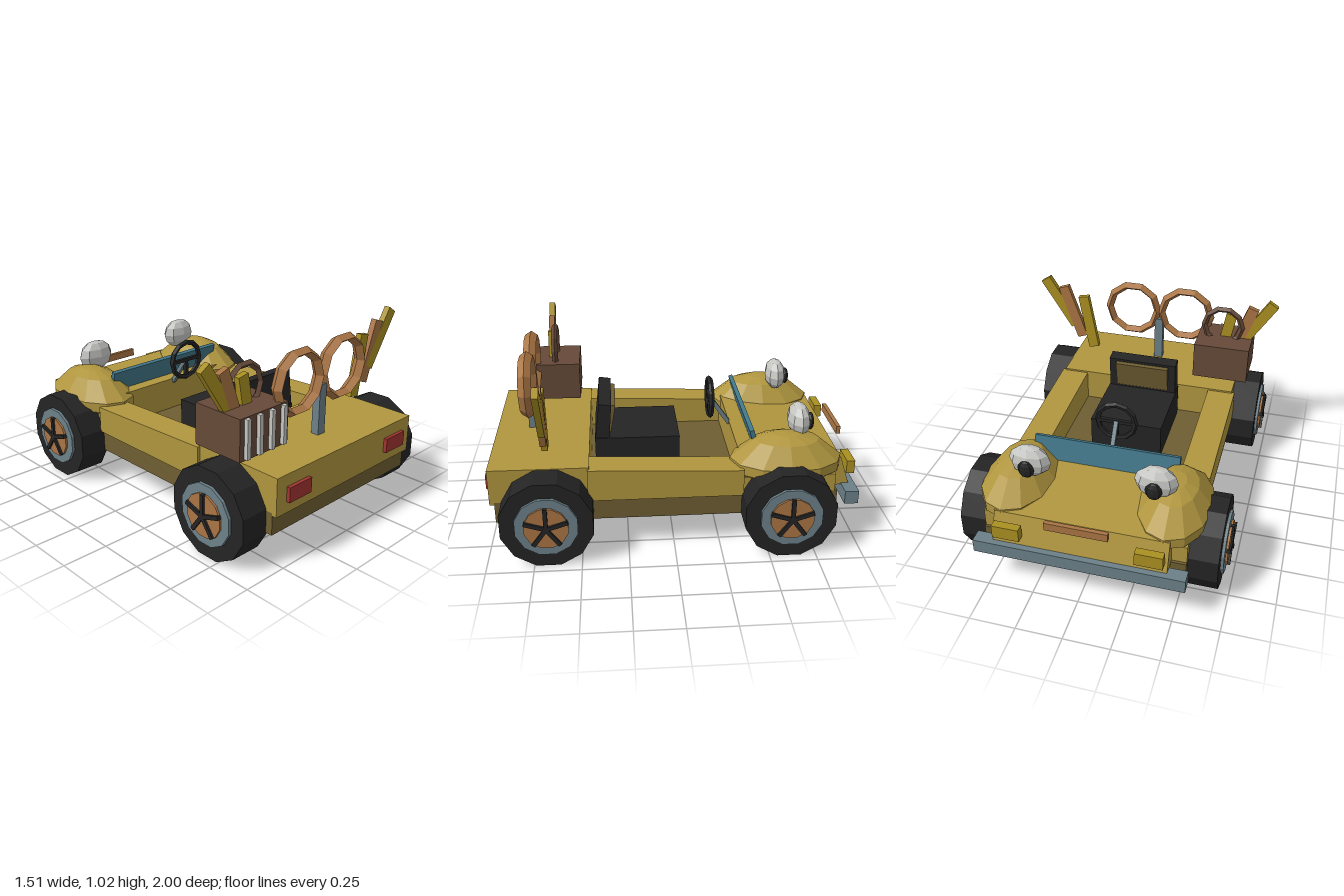
import * as THREE from 'three';

const mat = (name, color) => {
  const m = new THREE.MeshStandardMaterial({ color });
  m.name = name;
  return m;
};

export function createModel() {
  const yellow = mat('body yellow', 0xb0963f);
  const olive = mat('dark olive', 0x6e5e32);
  const black = mat('black', 0x242424);
  const steel = mat('blue grey', 0x6c8089);
  const wood = mat('wood', 0xaa7544);
  const brown = mat('dark brown', 0x664a39);
  const white = mat('white', 0xc6c6c3);
  const teal = mat('teal', 0x417688);
  const red = mat('red', 0xa03530);
  const mustard = mat('mustard', 0xaa9022);

  const car = new THREE.Group();
  car.name = 'buggy';

  // Faceted mesh helper
  const add = (name, geo, material, x = 0, y = 0, z = 0, parent = car) => {
    const g = geo.index ? geo.toNonIndexed() : geo;
    g.computeVertexNormals();
    const m = new THREE.Mesh(g, material);
    m.name = name;
    m.position.set(x, y, z);
    parent.add(m);
    return m;
  };
  // Box from its limits on each axis
  const box = (name, material, x0, x1, y0, y1, z0, z1) =>
    add(name, new THREE.BoxGeometry(x1 - x0, y1 - y0, z1 - z0), material,
      (x0 + x1) / 2, (y0 + y1) / 2, (z0 + z1) / 2);
  // Side profile of [z, y] points, extruded across the width
  const profile = (name, material, points, width, x) => {
    const shape = new THREE.Shape(points.map(p => new THREE.Vector2(...p)));
    const g = new THREE.ExtrudeGeometry(shape, { depth: width, bevelEnabled: false });
    g.translate(0, 0, -width / 2).rotateY(-Math.PI / 2);
    return add(name, g, material, x);
  };
  // Twelve-sided disc lying along x, with a flat side down
  const disc = (r, width) =>
    new THREE.CylinderGeometry(r, r, width, 12).rotateY(Math.PI / 12).rotateZ(Math.PI / 2);
  const rod = (name, material, a, b, r, parent = car) => {
    const from = new THREE.Vector3(...a), to = new THREE.Vector3(...b);
    const m = add(name, new THREE.BoxGeometry(r * 2, from.distanceTo(to), r * 2), material, 0, 0, 0, parent);
    m.position.copy(from).add(to).multiplyScalar(0.5);
    m.quaternion.setFromUnitVectors(new THREE.Vector3(0, 1, 0), to.sub(from).normalize());
    return m;
  };

  // Chassis, rear deck and hood
  box('chassis', olive, -0.54, 0.54, 0.18, 0.3, -0.885, 0.955);
  box('rearDeck', yellow, -0.54, 0.54, 0.285, 0.49, 0.45, 0.98);
  profile('hood', yellow, [[-0.36, 0.29], [-0.97, 0.29], [-0.915, 0.455], [-0.36, 0.49]], 0.92, 0);
  box('hoodBase', yellow, -0.54, 0.54, 0.3, 0.4, -0.87, -0.36);

  // Nose details
  box('bumper', steel, -0.56, 0.56, 0.225, 0.3, -1, -0.925);
  box('noseBar', wood, -0.165, 0.165, 0.455, 0.5, -0.988, -0.965);

  // Windshield, leaning back
  const shield = add('windshield', new THREE.BoxGeometry(0.81, 0.13, 0.025), teal, 0, 0.545, -0.445);
  shield.rotation.x = 0.27;

  // Paired parts
  const fenderProfile = [[0, 0.37], [0.8, 0.37], [1, 0.41], [1, 0.465], [0.58, 0.57], [0.25, 0.6], [0, 0.605]]
    .map(p => new THREE.Vector2(...p));
  for (const s of [-1, 1]) {
    const side = s > 0 ? 'left' : 'right';
    const pair = (name, m, x0, x1, ...rest) =>
      box(side + name, m, s > 0 ? x0 : -x1, s > 0 ? x1 : -x0, ...rest);

    profile(side + 'SideWall', yellow,
      [[0.46, 0.3], [-0.37, 0.3], [-0.37, 0.45], [0.46, 0.48]], 0.165, s * 0.475);
    add(side + 'FrontFender', new THREE.LatheGeometry(fenderProfile, 12).scale(0.195, 1, 0.305),
      yellow, s * 0.425, 0, -0.613);
    pair('Indicator', mustard, 0.3, 0.445, 0.35, 0.425, -1, -0.955);
    pair('TailLight', red, 0.31, 0.47, 0.345, 0.425, 0.975, 1);

    // Eye-shaped headlights
    add(side + 'Headlight', new THREE.SphereGeometry(1, 8, 6).scale(0.115, 0.09, 0.062),
      white, s * 0.335, 0.64, -0.695);
    add(side + 'HeadlightPupil', new THREE.SphereGeometry(1, 8, 6).scale(0.045, 0.05, 0.022),
      black, s * 0.335, 0.625, -0.758);

    // Fan of sticks
    [[0.445, 0.73, 0.18, mustard], [0.548, 0.79, 0.34, wood], [0.629, 0.85, 0.57, mustard]]
      .forEach(([x, y, tilt, m], i) => {
        const stick = add(side + 'Stick' + (i + 1),
          new THREE.BoxGeometry(0.066, 0.355, 0.034), m, s * x, y, 0.68);
        stick.rotation.z = -s * tilt;
      });

    // Large wooden rings
    add(side + 'Ring', new THREE.TorusGeometry(0.159, 0.024, 4, 10).scale(1, 1, 1.5),
      wood, s * 0.172, 0.815, 0.775);

    // Wheels
    for (const [end, z] of [['Front', -0.605], ['Rear', 0.675]]) {
      const wheel = new THREE.Group();
      wheel.name = side + end + 'Wheel';
      wheel.position.set(s * 0.61, 0.243, z);
      car.add(wheel);
      add('tire', disc(0.25, 0.172), black, 0, 0, 0, wheel);
      add('rim', disc(0.168, 0.1), steel, s * 0.052, 0, 0, wheel);
      add('hubDisc', disc(0.118, 0.1), wood, s * 0.064, 0, 0, wheel);
      for (let i = 0; i < 5; i++) {
        const a = i * Math.PI * 2 / 5;
        rod('spoke', black, [s * 0.115, 0, 0],
          [s * 0.115, Math.cos(a) * 0.118, Math.sin(a) * 0.118], 0.011, wheel);
      }
    }
  }

  // Seat
  box('seatBase', black, -0.21, 0.21, 0.3, 0.495, -0.055, 0.42);
  profile('seatBack', black, [[0.42, 0.48], [0.34, 0.48], [0.325, 0.69], [0.394, 0.7]], 0.41, 0);
  profile('seatPad', olive, [[0.345, 0.51], [0.33, 0.51], [0.302, 0.67], [0.33, 0.675]], 0.32, 0);

  // Steering wheel and column
  const steering = new THREE.Group();
  steering.name = 'steeringWheel';
  steering.position.set(0, 0.64, -0.245);
  car.add(steering);
  add('steeringRim', new THREE.TorusGeometry(0.108, 0.016, 5, 12), black, 0, 0, 0, steering);
  for (const a of [0, Math.PI, -Math.PI / 2])
    rod('steeringSpoke', black, [0, 0, 0], [Math.cos(a) * 0.105, Math.sin(a) * 0.105, 0], 0.01, steering);
  rod('steeringColumn', steel, [0, 0.64, -0.245], [0, 0.47, -0.365], 0.012);

  // Ring mast, crate with slats, and small ring
  box('ringMast', steel, -0.026, 0.026, 0.49, 0.765, 0.755, 0.8);
  box('crate', brown, -0.615, -0.28, 0.535, 0.755, 0.51, 0.81);
  for (let i = 0; i < 4; i++) {
    const x = -0.573 + i * 0.084;
    box('crateSlat', white, x - 0.012, x + 0.012, 0.545, 0.75, 0.81, 0.832);
  }
  add('smallRing', new THREE.TorusGeometry(0.116, 0.018, 4, 10), brown, -0.43, 0.828, 0.655);

  return car;
}
